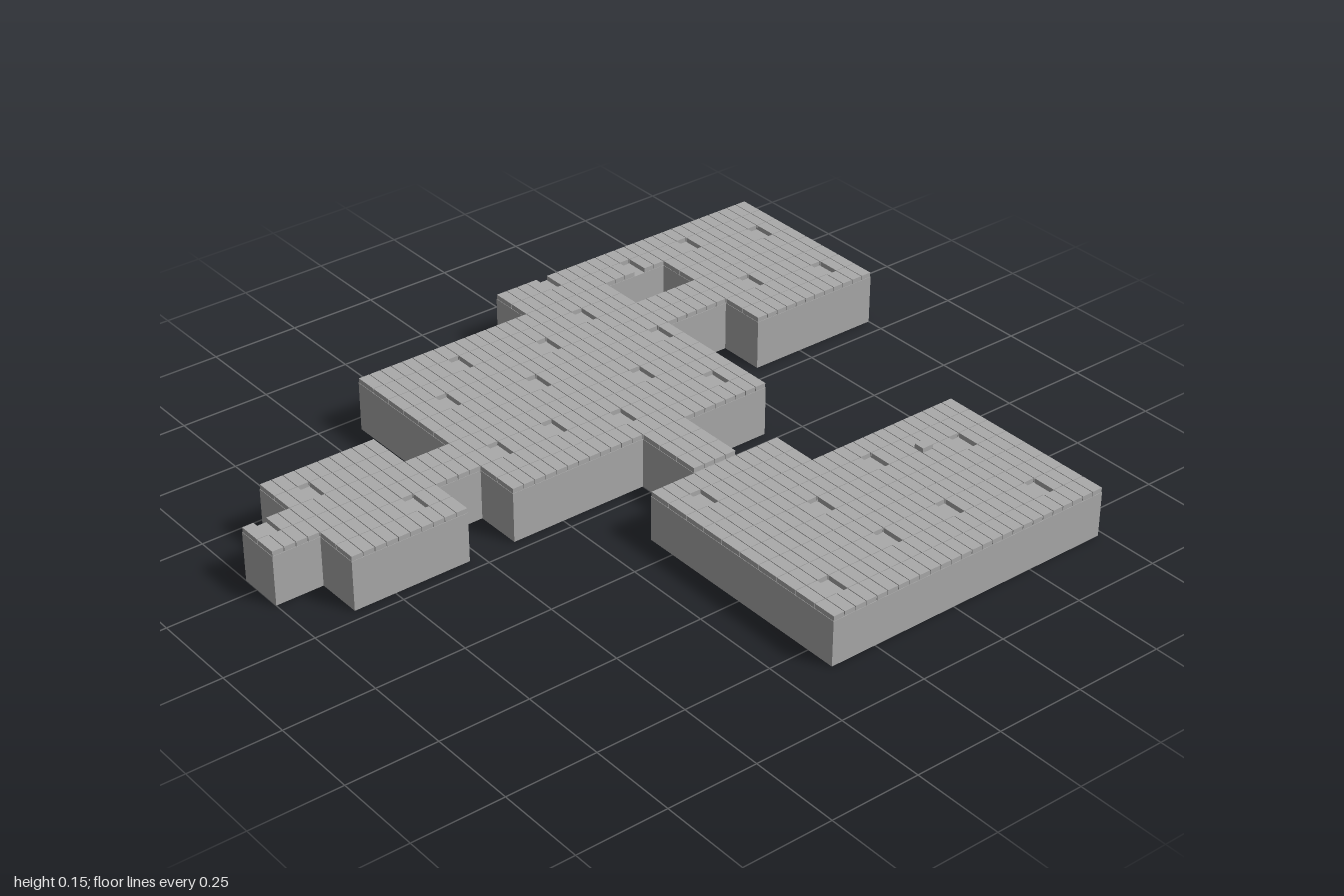
import * as THREE from 'three';
import { mergeGeometries } from 'three/addons/utils/BufferGeometryUtils.js';

// paving grid: columns 1/15 wide from the left edge, rows 1/30 deep about z = 0
const X0 = -5 / 6, COL = 1 / 15, ROW = 1 / 30;
const PAVER = 0.0133, GAP = 0.001;

// rooms as [first column, end column, first row, end row]
const sections = [
  { name: 'backRoom', top: 0.153, rects: [[0, 8, -30, -18], [0, 2, -18, -12], [4, 6, -18, -12]] },
  { name: 'mainHall', top: 0.153, rects: [[0, 12, -12, -4], [2, 12, -4, 12], [12, 15, -4, 0]] },
  { name: 'frontRoom', top: 0.153, rects: [[8, 10, 12, 16], [6, 12, 16, 26], [8, 10, 26, 30]] },
  { name: 'sideRoomBack', top: 0.14, rects: [[17, 25, -22, -12]] },
  { name: 'sideRoomFront', top: 0.14, rects: [[17, 25, -12, -8], [15, 25, -8, 4]] },
];

// sunken pavers as column,row
const sunken = new Set([
  '2,-28', '6,-28', '1,-22', '5,-22', '1,-16', '0,-9', '3,-8', '6,-11', '10,-10', '8,-6',
  '4,-3', '10,-1', '6,1', '3,4', '9,4', '5,8', '9,9', '10,18', '7,23', '8,28',
  '19,-19', '23,-19', '18,-12', '22,-12', '19,-5', '22,-6', '16,1', '23,1',
]);

function block(x0, x1, y0, y1, z0, z1) {
  return new THREE.BoxGeometry(x1 - x0, y1 - y0, z1 - z0)
    .translate((x0 + x1) / 2, (y0 + y1) / 2, (z0 + z1) / 2);
}

export function createModel() {
  const model = new THREE.Group();
  model.name = 'floorPlan';
  const stone = new THREE.MeshStandardMaterial({ color: 0xaaaaaa });
  stone.name = 'grey stone';

  const add = (name, geometry, parent) => {
    const mesh = new THREE.Mesh(geometry, stone);
    mesh.name = name;
    parent.add(mesh);
  };

  for (const { name, top, rects } of sections) {
    const room = new THREE.Group();
    room.name = name;
    const slabs = [], pavers = [];
    const bed = top - PAVER;
    for (const [c0, c1, r0, r1] of rects) {
      // solid slab under the paving
      slabs.push(block(X0 + c0 * COL, X0 + c1 * COL, 0, bed, r0 * ROW, r1 * ROW));
      // separate pavers with hairline joints
      for (let c = c0; c < c1; c++) {
        for (let r = r0; r < r1; r++) {
          if (sunken.has(`${c},${r}`)) continue;
          pavers.push(block(
            X0 + c * COL + GAP, X0 + (c + 1) * COL - GAP, bed, top,
            r * ROW + GAP, (r + 1) * ROW - GAP));
        }
      }
    }
    add('slab', mergeGeometries(slabs), room);
    add('pavers', mergeGeometries(pavers), room);
    model.add(room);
  }

  // small raised stone in the side room
  add('raisedStone', block(0.417, 0.447, 0.135, 0.153, -0.533, -0.5), model);
  return model;
}
